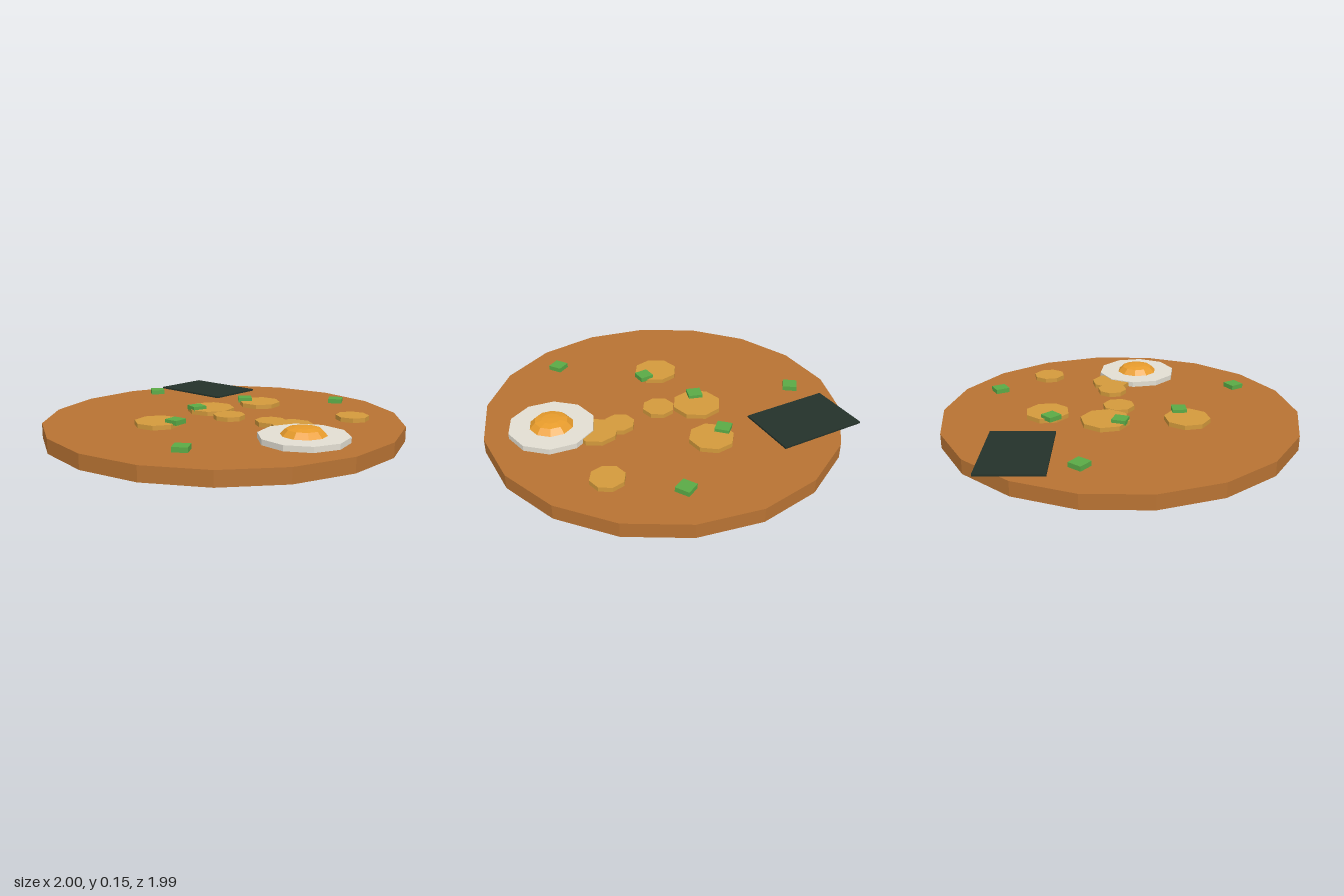
import * as THREE from 'three';

const material = (color) => new THREE.MeshStandardMaterial({ color, flatShading: true });

export function createModel() {
  const group = new THREE.Group();
  const add = (name, geometry, mat, x, y, z, turn = 0) => {
    const mesh = new THREE.Mesh(geometry, mat);
    mesh.name = name;
    mesh.position.set(x, y, z);
    mesh.rotation.y = turn;
    group.add(mesh);
    return mesh;
  };
  // Upright disc standing on baseY, with a corner on the x axis
  const disc = (name, radius, height, sides, mat, x, baseY, z, turn = 0) =>
    add(name, new THREE.CylinderGeometry(radius, radius, height, sides), mat,
      x, baseY + height / 2, z, Math.PI / 2 + turn);

  // Broth surface
  disc('broth', 1, 0.08, 18, material(0xb87333), 0, 0, 0.01);

  // Round slices: x, z, radius, turn
  const sliceMat = material(0xd49a3c);
  [
    [-0.11, -0.145, 0.137, 0.1],
    [0.14, -0.375, 0.123, 0],
    [0.035, 0.02, 0.09, 0.1],
    [0.285, 0.115, 0.085, 0.1],
    [0.41, 0.175, 0.115, 0.1],
    [0.71, -0.107, 0.093, 0.1],
    [-0.31, 0.255, 0.127, 0.1],
  ].forEach(([x, z, r, turn]) => disc('slice', r, 0.025, 8, sliceMat, x, 0.08, z, turn));

  // Chopped green onion: x, z, turn
  const onionMat = material(0x5aaa46);
  const onionGeometry = new THREE.BoxGeometry(0.08, 0.026, 0.08);
  [
    [-0.555, -0.52, 0.4],
    [0.045, -0.395, 0.25],
    [0.59, -0.48, 0],
    [-0.18, -0.09, 0.75],
    [-0.205, 0.27, -0.45],
    [-0.03, 0.78, 0.06],
  ].forEach(([x, z, turn]) => add('greenOnion', onionGeometry, onionMat, x, 0.11, z, turn));

  // Egg half: white disc with a domed yolk
  disc('eggWhite', 0.235, 0.03, 10, material(0xe2ded2), 0.497, 0.08, 0.41);
  const yolkProfile = [[0.12, 0], [0.09, 0.03], [0.05, 0.038], [0, 0.04]]
    .map(([r, y]) => new THREE.Vector2(r, y));
  add('eggYolk', new THREE.LatheGeometry(yolkProfile, 10), material(0xe89c2c),
    0.497, 0.11, 0.41, Math.PI / 2);

  // Seaweed sheet overhanging the back edge
  add('seaweedSheet', new THREE.BoxGeometry(0.5, 0.01, 0.345), material(0x24322a),
    -0.27, 0.1, -0.725, -0.52);

  return group;
}
